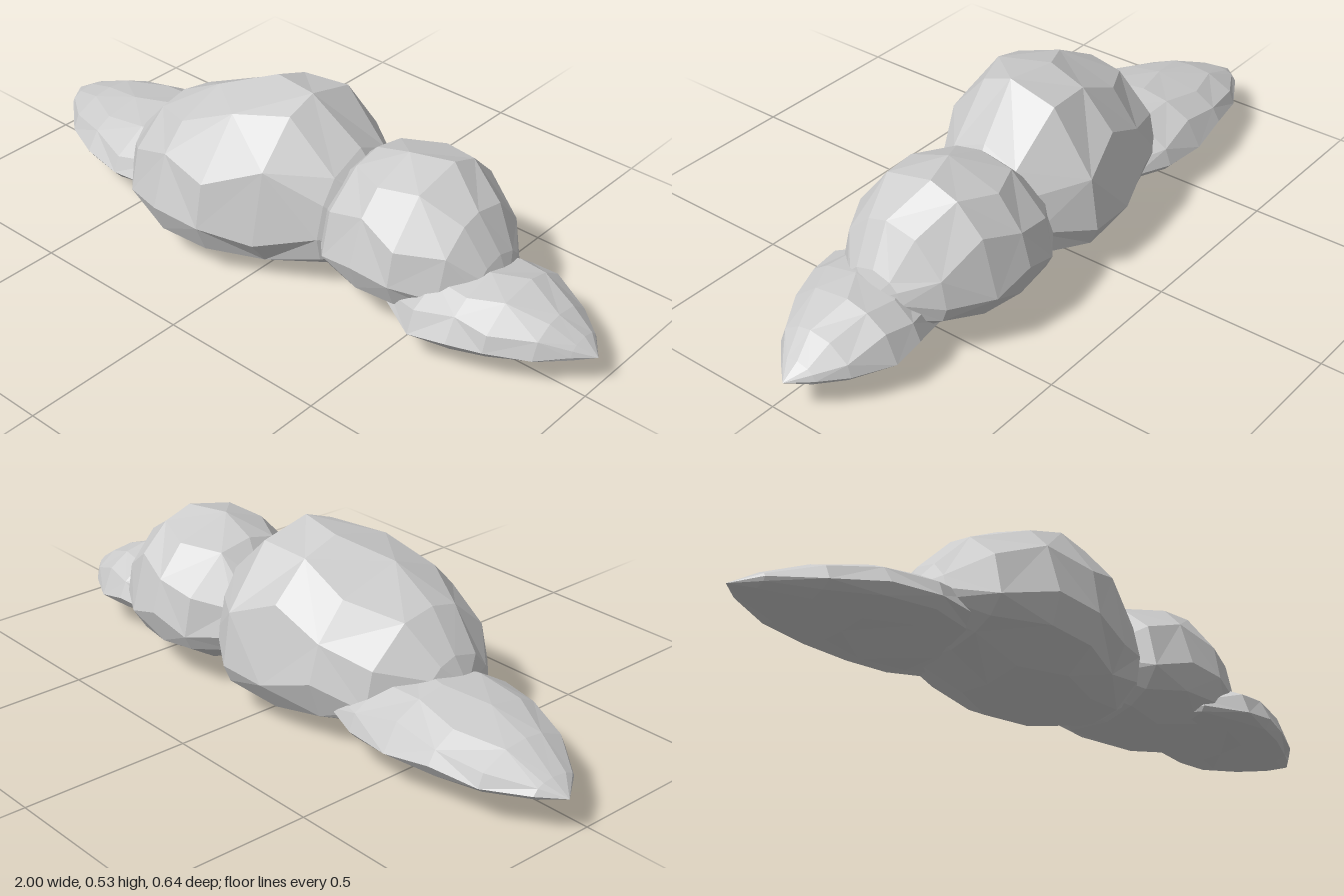
import * as THREE from 'three';

const SIDES = 12;
const material = new THREE.MeshStandardMaterial({ color: 0xcccccc, flatShading: true });

// Lofts one faceted puff along x. Each station is [x, zBack, zFront, yBottom, yTop];
// the widest line of every section lies near y = waist.
function puff(name, waist, stations) {
  const positions = [];
  const index = [];
  const last = stations.length - 1;
  stations.forEach(([x, zBack, zFront, yBottom, yTop], i) => {
    const mid = THREE.MathUtils.clamp(waist, yBottom, yTop);
    for (let j = 0; j < SIDES; j++) {
      // small uneven shifts give irregular facets
      const a = ((j + 0.22 * Math.sin(i * 2.3 + j * 1.7)) / SIDES) * Math.PI * 2;
      const s = Math.sin(a);
      positions.push(
        x,
        mid + s * (s > 0 ? yTop - mid : mid - yBottom),
        (zBack + zFront) / 2 + Math.cos(a) * (zFront - zBack) / 2
      );
    }
  });
  for (let i = 0; i < last; i++) {
    for (let j = 0; j < SIDES; j++) {
      const k = (j + 1) % SIDES;
      const a = i * SIDES + j, b = a + SIDES;
      const c = i * SIDES + k, d = c + SIDES;
      if (i === 0) index.push(a, b, d);              // fan at the first tip
      else if (i === last - 1) index.push(a, b, c);  // fan at the last tip
      else if ((i + j) % 2) index.push(a, b, c, b, d, c);
      else index.push(a, b, d, a, d, c);
    }
  }
  const indexed = new THREE.BufferGeometry();
  indexed.setAttribute('position', new THREE.Float32BufferAttribute(positions, 3));
  indexed.setIndex(index);
  const geometry = indexed.toNonIndexed();
  geometry.computeVertexNormals();
  const mesh = new THREE.Mesh(geometry, material);
  mesh.name = name;
  return mesh;
}

export function createModel() {
  const cloud = new THREE.Group();
  cloud.name = 'cloud';

  // Large central puff
  cloud.add(puff('mainPuff', 0.16, [
    [-0.54, 0.04, 0.04, 0.20, 0.20],
    [-0.50, -0.08, 0.16, 0.12, 0.28],
    [-0.40, -0.20, 0.265, 0.06, 0.385],
    [-0.25, -0.265, 0.32, 0.015, 0.465],
    [-0.10, -0.31, 0.305, 0.0, 0.52],
    [0.05, -0.315, 0.24, 0.015, 0.527],
    [0.20, -0.22, 0.14, 0.045, 0.40],
    [0.29, -0.14, 0.04, 0.10, 0.28],
    [0.33, -0.05, -0.05, 0.18, 0.18],
  ]));

  // Second, smaller tall puff
  cloud.add(puff('sidePuff', 0.18, [
    [0.08, -0.08, -0.08, 0.20, 0.20],
    [0.14, -0.23, 0.06, 0.10, 0.31],
    [0.24, -0.305, 0.165, 0.055, 0.41],
    [0.36, -0.325, 0.19, 0.045, 0.45],
    [0.48, -0.31, 0.18, 0.05, 0.452],
    [0.60, -0.24, 0.12, 0.065, 0.37],
    [0.67, -0.15, 0.04, 0.10, 0.26],
    [0.70, -0.06, -0.06, 0.18, 0.18],
  ]));

  // Low pointed wisps at both ends
  cloud.add(puff('leftWisp', 0.10, [
    [0.38, 0.02, 0.02, 0.10, 0.10],
    [0.45, -0.10, 0.14, 0.075, 0.165],
    [0.57, -0.19, 0.205, 0.062, 0.22],
    [0.68, -0.22, 0.185, 0.06, 0.235],
    [0.77, -0.22, 0.145, 0.06, 0.23],
    [0.88, -0.165, 0.08, 0.07, 0.185],
    [0.95, -0.11, 0.01, 0.085, 0.14],
    [1.00, -0.045, -0.045, 0.10, 0.10],
  ]));
  cloud.add(puff('rightWisp', 0.115, [
    [-1.00, -0.075, -0.075, 0.11, 0.11],
    [-0.94, -0.14, 0.01, 0.093, 0.145],
    [-0.82, -0.21, 0.115, 0.075, 0.193],
    [-0.68, -0.245, 0.18, 0.063, 0.223],
    [-0.54, -0.265, 0.205, 0.06, 0.24],
    [-0.40, -0.255, 0.18, 0.062, 0.23],
    [-0.28, -0.215, 0.11, 0.08, 0.19],
    [-0.18, -0.06, -0.06, 0.12, 0.12],
  ]));

  return cloud;
}
